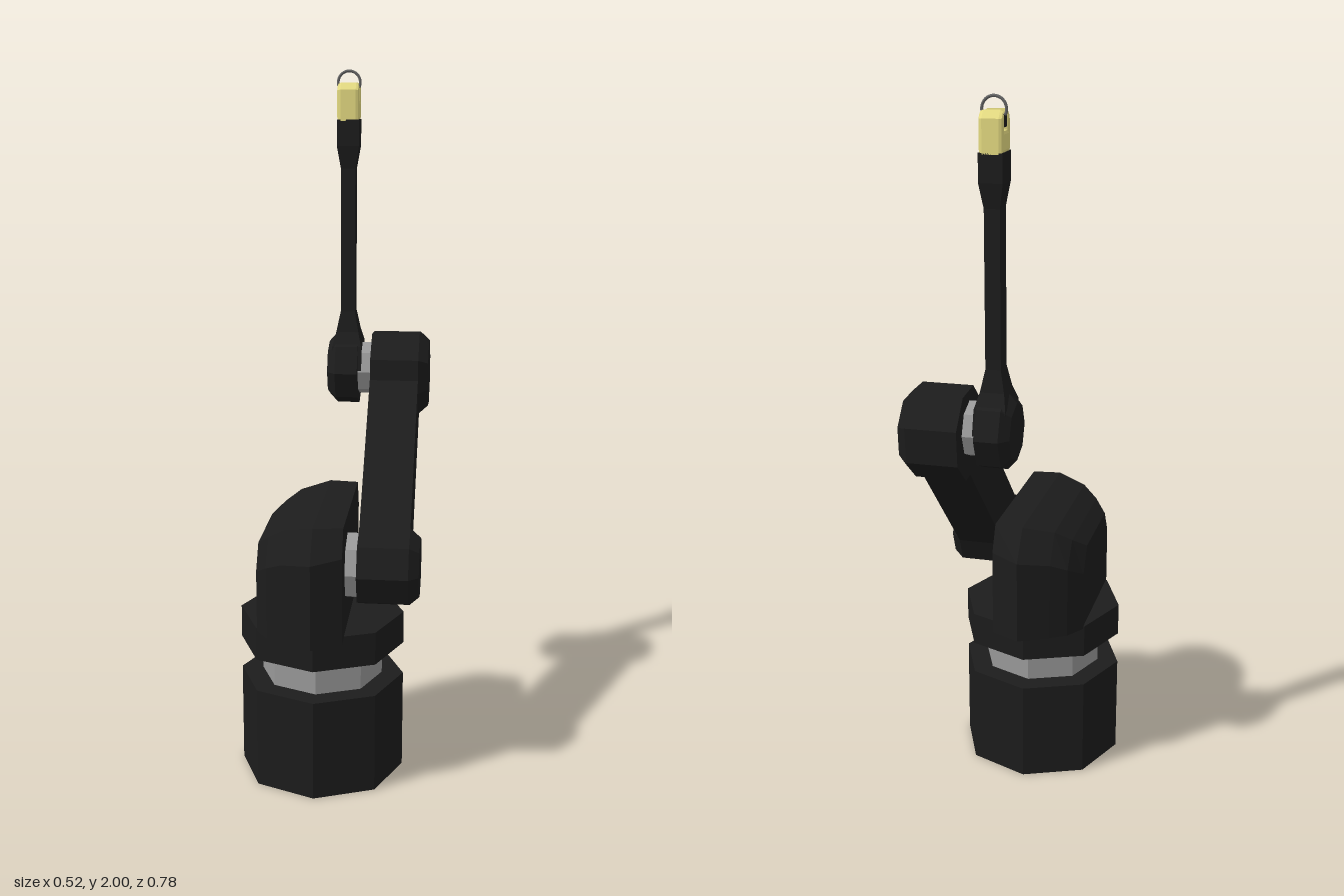
import * as THREE from 'three';

const mat = (color) => new THREE.MeshStandardMaterial({ color, flatShading: true });
const black = mat(0x1c1c1c), grey = mat(0x999999), yellow = mat(0xe6dc82);

// Closed solid through matching rings of points, counter-clockwise seen from the far end
function loft(rings) {
  const pos = [];
  const tri = (...pts) => pts.forEach((p) => pos.push(...p));
  const mid = (ring) => [0, 1, 2].map((k) => ring.reduce((s, p) => s + p[k], 0) / ring.length);
  const n = rings[0].length, last = rings[rings.length - 1];
  const c0 = mid(rings[0]), c1 = mid(last);
  for (let j = 0; j < n; j++) {
    const k = (j + 1) % n;
    for (let i = 0; i + 1 < rings.length; i++) {
      const [a, b, c, d] = [rings[i][j], rings[i][k], rings[i + 1][k], rings[i + 1][j]];
      tri(a, b, c);
      tri(a, c, d);
    }
    tri(c0, rings[0][k], rings[0][j]);
    tri(c1, last[j], last[k]);
  }
  const g = new THREE.BufferGeometry();
  g.setAttribute('position', new THREE.Float32BufferAttribute(pos, 3));
  g.computeVertexNormals();
  return g;
}

// Eight-sided drum; profile is [radius, height] pairs, closed on the axis
function drum(profile, turn = 0) {
  const pts = [[0, profile[0][1]], ...profile, [0, profile[profile.length - 1][1]]];
  return new THREE.LatheGeometry(pts.map(([r, h]) => new THREE.Vector2(r, h)), 8, turn);
}

export function createModel() {
  const model = new THREE.Group();
  const add = (name, geometry, material, x = 0, y = 0, z = 0) => {
    const mesh = new THREE.Mesh(geometry, material);
    mesh.name = name;
    mesh.position.set(x, y, z);
    model.add(mesh);
    return mesh;
  };
  const addAcross = (name, profile, material, y, z, turn) =>
    add(name, drum(profile, turn).rotateZ(-Math.PI / 2), material, 0, y, z);

  // Base and turntable
  const bx = -0.026, bz = 0.09;
  add('base', drum([[0.237, 0], [0.237, 0.29]]), black, bx, 0, bz);
  add('turntableRing', drum([[0.175, 0.285], [0.175, 0.39]]), grey, bx, 0, bz);
  add('turntableFlange', drum([[0.237, 0.385], [0.237, 0.48]]), black, bx, 0, bz);

  // Shoulder housing: [x, half width, side height, top height, top half width]
  const housing = [
    [-0.19, 0.175, 0.65, 0.72, 0.13],
    [-0.155, 0.228, 0.68, 0.75, 0.17],
    [-0.11, 0.255, 0.70, 0.78, 0.2],
    [-0.025, 0.3, 0.715, 0.8, 0.235],
    [0.057, 0.26, 0.725, 0.8, 0.225],
  ].map(([x, w, side, top, tw]) => [
    [x, 0.475, bz - w], [x, side, bz - w], [x, top, bz - tw],
    [x, top, bz + tw], [x, side, bz + w], [x, 0.475, bz + w],
  ]);
  add('shoulderHousing', loft(housing), black);

  // Upper arm with a joint drum at each end
  const sy = 0.653, sz = 0.19, ey = 1.112, ez = -0.266;
  addAcross('shoulderJoint', [[0.095, 0.04], [0.095, 0.1]], grey, sy, sz);
  addAcross('shoulderDrum', [[0.113, 0.09], [0.113, 0.232], [0.088, 0.26]], black, sy, sz);
  const len = Math.hypot(ey - sy, ez - sz);
  const arm = add('upperArm', new THREE.BoxGeometry(0.142, 0.168, len), black,
    0.161, (sy + ey) / 2, (sz + ez) / 2);
  arm.rotation.x = Math.atan2(ey - sy, sz - ez);
  const turn = THREE.MathUtils.degToRad(18);
  addAcross('elbowDrum', [[0.129, 0.09], [0.129, 0.232], [0.102, 0.26]], black, ey, ez, turn);

  // Elbow joint and forearm hub
  const fy = 1.125, fz = -0.262, fx = 0.016;
  addAcross('elbowJoint', [[0.078, 0.04], [0.078, 0.1]], grey, fy, fz);
  addAcross('forearmHub', [[0.08, -0.041], [0.108, -0.016], [0.108, 0.05]], black, fy, fz);

  // Forearm: [height, half width, half depth]
  const forearm = [
    [1.13, 0.045, 0.08], [1.2, 0.043, 0.068], [1.24, 0.033, 0.042], [1.3, 0.021, 0.029],
    [1.72, 0.021, 0.029], [1.785, 0.032, 0.04], [1.86, 0.032, 0.04],
  ].map(([y, w, d]) => [
    [fx + w, y, fz + d], [fx + w, y, fz - d], [fx - w, y, fz - d], [fx - w, y, fz + d],
  ]);
  add('forearm', loft(forearm), black);

  // Tool head: a fork whose slot faces left and right
  const bevel = 0.01;
  const fork = new THREE.Shape();
  [[-0.03, 0.008], [0.03, 0.008], [0.03, 0.083], [0.022, 0.092], [0.025, 0.092],
    [0.025, 0.046], [-0.025, 0.046], [-0.025, 0.092], [-0.022, 0.092], [-0.03, 0.083]]
    .filter((p, i) => i !== 3 && i !== 8)
    .forEach(([u, v], i) => (i ? fork.lineTo(u, v) : fork.moveTo(u, v)));
  const forkGeometry = new THREE.ExtrudeGeometry(fork, {
    depth: 0.044, bevelThickness: bevel, bevelSize: bevel, bevelSegments: 2, steps: 1,
  });
  forkGeometry.translate(0, 0, -0.022).rotateY(Math.PI / 2);
  add('toolFork', forkGeometry, yellow, fx, 1.858, fz);

  // Jaw block and loop held in the fork
  add('jawBlock', new THREE.BoxGeometry(0.056, 0.03, 0.034), black, fx, 1.935, fz);
  const loop = add('toolLoop', new THREE.TorusGeometry(0.032, 0.004, 8, 32, Math.PI * 1.3),
    mat(0x666666), fx, 1.964, fz);
  loop.rotation.z = -Math.PI * 0.15;
  return model;
}
